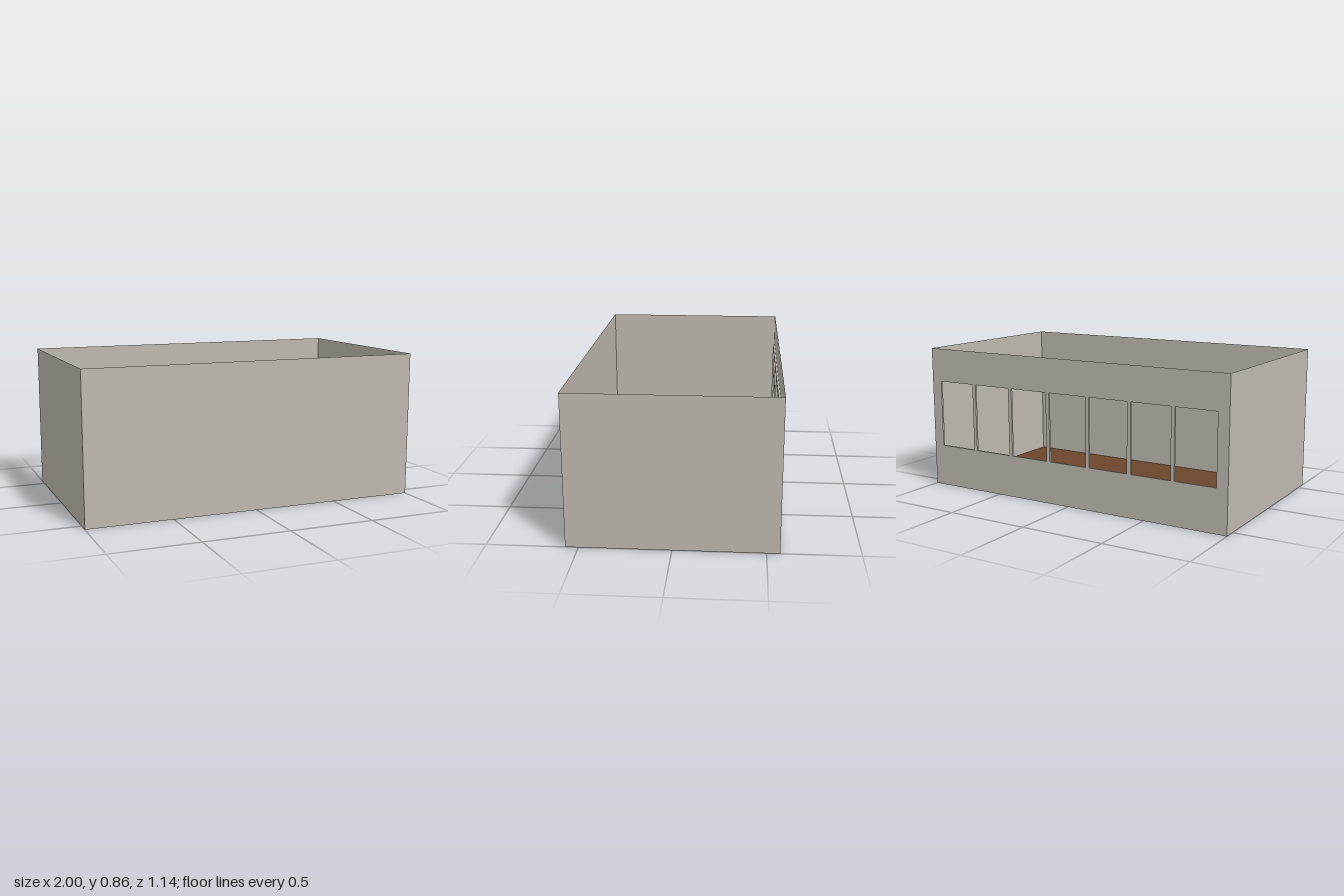
import * as THREE from 'three';

const W = 2, H = 0.857, D = 1.143;
const win = { half: 0.945, bottom: 0.24, top: 0.667, count: 7 };
const BAR = 0.0114; // frame bar width and depth

export function createModel() {
  const group = new THREE.Group();
  const plaster = new THREE.MeshStandardMaterial({ color: 0xbeb8b0, side: THREE.DoubleSide });
  plaster.name = 'warm grey plaster';
  const wood = new THREE.MeshStandardMaterial({ color: 0x6b462b, side: THREE.DoubleSide });
  wood.name = 'brown floor';

  const add = (parent, name, geometry, material, x, y, z) => {
    const mesh = new THREE.Mesh(geometry, material);
    mesh.name = name;
    mesh.position.set(x, y, z);
    parent.add(mesh);
    return mesh;
  };

  // Floor sheet
  add(group, 'floor', new THREE.PlaneGeometry(W, D).rotateX(-Math.PI / 2), wood, 0, 0, 0);

  // Plain walls, each a single sheet facing outward
  add(group, 'frontWall', new THREE.PlaneGeometry(W, H), plaster, 0, H / 2, D / 2);
  for (const side of [1, -1]) {
    add(group, side > 0 ? 'leftWall' : 'rightWall',
      new THREE.PlaneGeometry(D, H).rotateY(side * Math.PI / 2), plaster, side * W / 2, H / 2, 0);
  }

  // Back wall with one long window opening
  const wall = new THREE.Shape([
    new THREE.Vector2(-W / 2, 0), new THREE.Vector2(W / 2, 0),
    new THREE.Vector2(W / 2, H), new THREE.Vector2(-W / 2, H),
  ]);
  wall.holes.push(new THREE.Path([
    new THREE.Vector2(-win.half, win.bottom), new THREE.Vector2(-win.half, win.top),
    new THREE.Vector2(win.half, win.top), new THREE.Vector2(win.half, win.bottom),
  ]));
  const back = add(group, 'backWall', new THREE.ShapeGeometry(wall), plaster, 0, 0, -D / 2);
  back.rotation.y = Math.PI;

  // Row of open window frames set just inside the back wall
  const frames = new THREE.Group();
  frames.name = 'windowFrames';
  group.add(frames);
  const pitch = 2 * win.half / win.count;
  const z = -D / 2 + BAR / 2;
  const height = win.top - win.bottom;
  const midY = (win.top + win.bottom) / 2;
  add(frames, 'windowSill', new THREE.BoxGeometry(2 * win.half, BAR, BAR), plaster, 0, win.bottom + BAR / 2, z);
  add(frames, 'windowHead', new THREE.BoxGeometry(2 * win.half, BAR, BAR), plaster, 0, win.top - BAR / 2, z);
  for (let i = 0; i <= win.count; i++) {
    const end = i === 0 ? 1 : i === win.count ? -1 : 0;
    const width = end ? BAR : 2 * BAR;
    add(frames, end ? 'windowJamb' : 'windowMullion',
      new THREE.BoxGeometry(width, height - 2 * BAR, BAR), plaster,
      -win.half + i * pitch + end * BAR / 2, midY, z);
  }
  return group;
}
